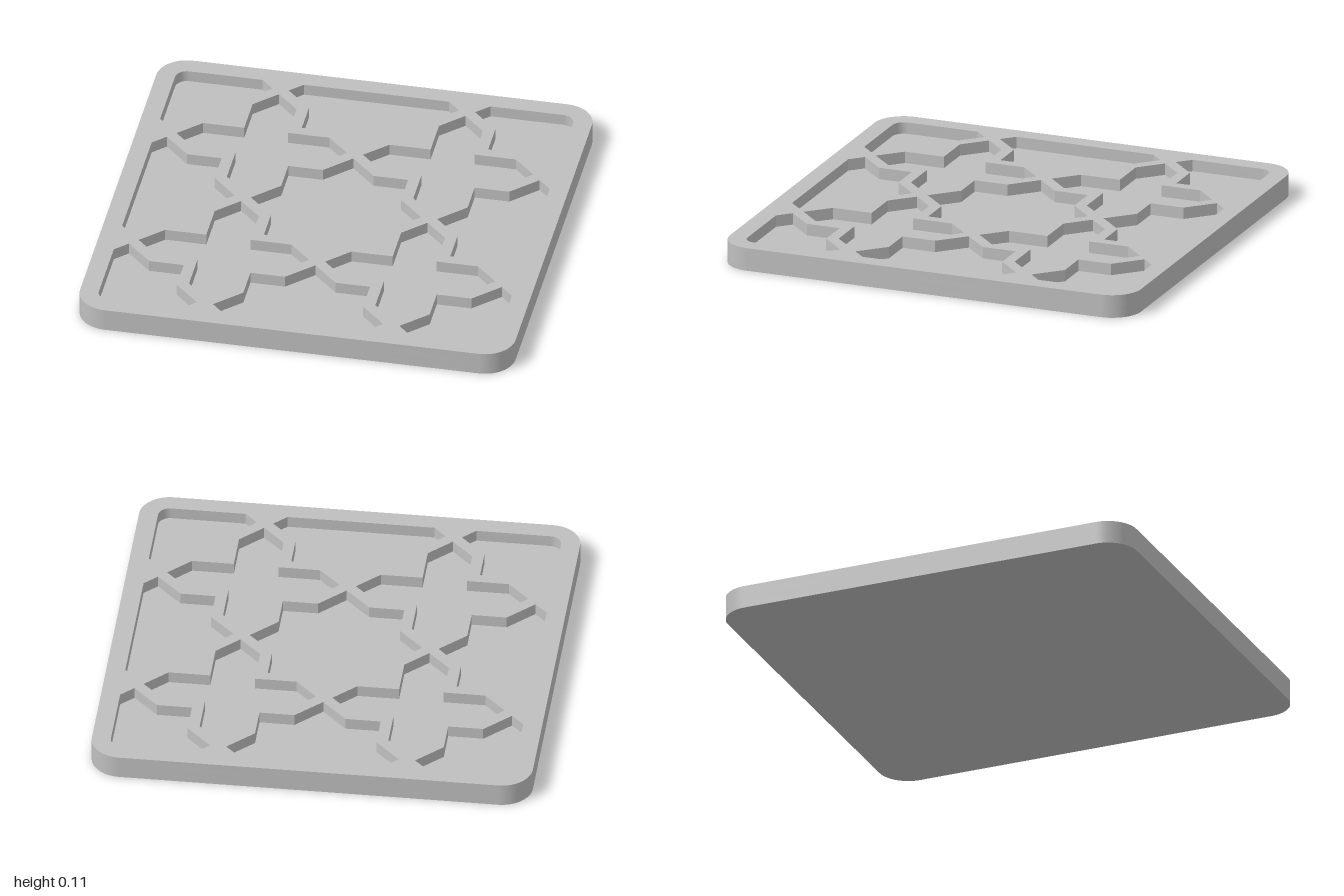
import * as THREE from 'three';
import { toCreasedNormals } from 'three/addons/utils/BufferGeometryUtils.js';

const HEIGHT = 0.107, FLOOR = 0.053; // full thickness and recess floor level
const CROSS_AT = 0.428;              // centre of each cross cell
const TIP = 0.391;                   // cell centre to point
const RIM = 0.914;                   // inner edge of the border
const LIP = RIM - 2 * CROSS_AT;      // part of a border star beyond its centre

// one quadrant of each cell outline, from the +x point round to just before +y
const STAR = [[TIP, 0], [0.275, 0.116], [0.275, 0.275], [0.116, 0.275]];
const CROSS = [[TIP, 0], [0.29, 0.101], [0.101, 0.101], [0.101, 0.29]];

const turn = ([x, y], n) => {
  for (let i = 0; i < n; i++) [x, y] = [-y, x];
  return [x, y];
};
const quadrants = (pts, count) =>
  Array.from({ length: count }, (_, k) => pts.map(p => turn(p, k))).flat();

// place an outline at (cx, cy), then turn it about the middle of the tile
const cell = (pts, cx, cy, n = 0) =>
  new THREE.Path(pts.map(([x, y]) => new THREE.Vector2(...turn([x + cx, y + cy], n))));

function roundedSquare(half, r) {
  const s = new THREE.Shape(), c = half - r;
  [[c, c], [-c, c], [-c, -c], [c, -c]].forEach(([x, y], i) =>
    s.absarc(x, y, r, i * Math.PI / 2, (i + 1) * Math.PI / 2, false));
  s.closePath();
  return s;
}

function slab(name, shape, y0, y1, material) {
  const geo = new THREE.ExtrudeGeometry(shape, { depth: y1 - y0, bevelEnabled: false, curveSegments: 12 });
  geo.rotateX(-Math.PI / 2).translate(0, y0, 0);
  const mesh = new THREE.Mesh(toCreasedNormals(geo, 0.5), material);
  mesh.name = name;
  return mesh;
}

export function createModel() {
  const group = new THREE.Group();
  group.name = 'patternedTile';
  const stone = new THREE.MeshStandardMaterial({ color: 0xbfbfbf });
  stone.name = 'grey';

  // half star against the border
  const edgeStar = [...quadrants(STAR, 2), [-TIP, 0], [LIP - TIP, -LIP], [TIP - LIP, -LIP]];

  // quarter star in the corner, with a rounded outer corner
  const r = 0.054;
  const cornerStar = [...STAR, [0, TIP], [-LIP, TIP - LIP]];
  for (let i = 0; i <= 8; i++) {
    const a = Math.PI + (i / 8) * Math.PI / 2;
    cornerStar.push([-LIP + r + r * Math.cos(a), -LIP + r + r * Math.sin(a)]);
  }
  cornerStar.push([TIP - LIP, -LIP]);

  // raised lattice with the cells cut out
  const lattice = roundedSquare(1, 0.14);
  lattice.holes.push(cell(quadrants(STAR, 4), 0, 0));
  for (let n = 0; n < 4; n++) {
    lattice.holes.push(
      cell(quadrants(CROSS, 4), CROSS_AT, CROSS_AT, n),
      cell(edgeStar, 0, -2 * CROSS_AT, n),
      cell(cornerStar, -2 * CROSS_AT, -2 * CROSS_AT, n));
  }

  group.add(
    slab('base', roundedSquare(1, 0.14), 0, FLOOR, stone),
    slab('raisedLattice', lattice, FLOOR, HEIGHT, stone));
  return group;
}
